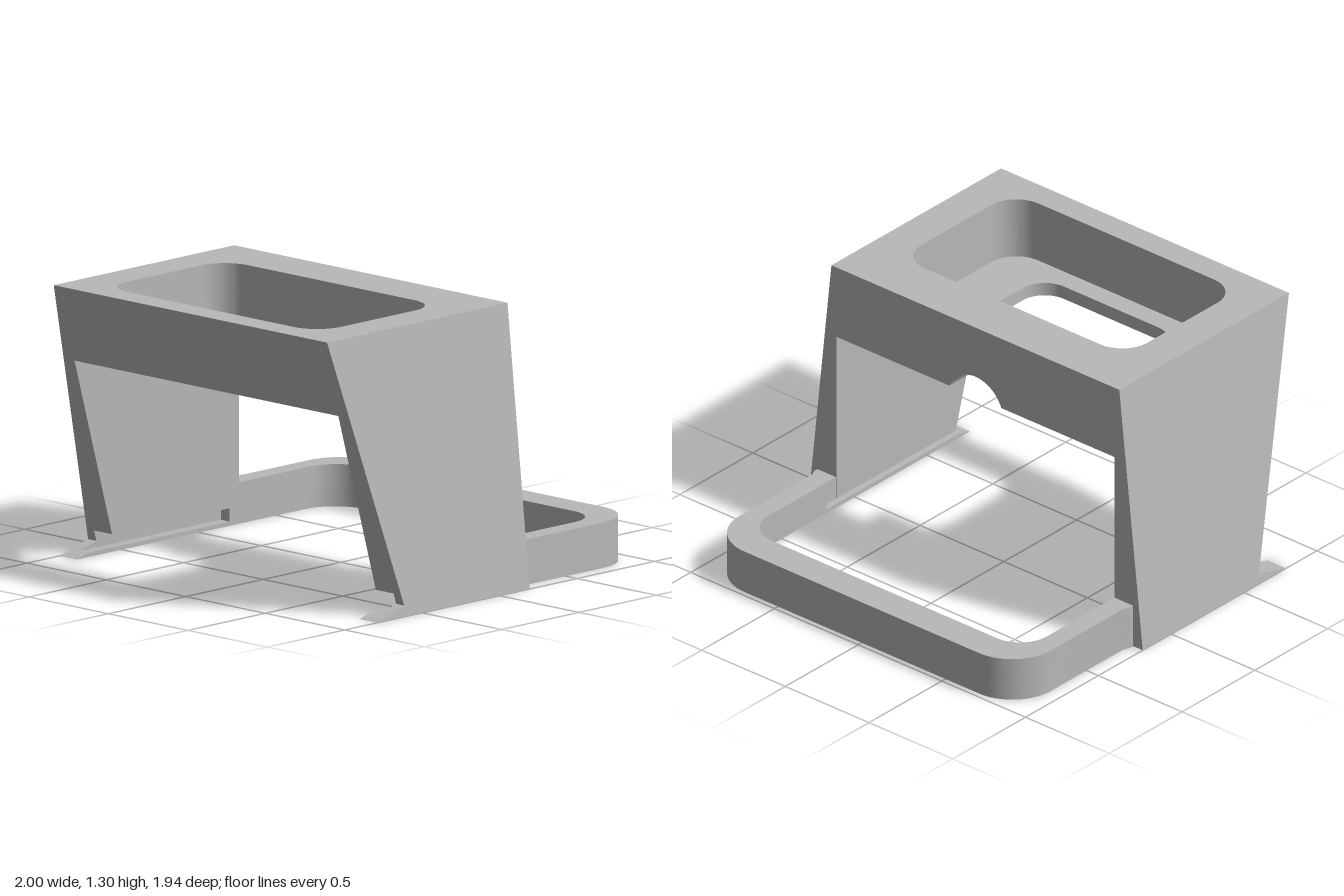
import * as THREE from 'three';
import { toCreasedNormals } from 'three/addons/utils/BufferGeometryUtils.js';

const BACK = -0.195, UNDER = 0.94, FLOOR = 1.004, TOP = 1.3;
const HALF = Math.PI / 2;
const ARCH = { r: 0.167, y: 0.878 };

// outline of the body: half width and front edge at a given height
const outerX = y => 1 - 0.14 * y / TOP;
const frontZ = y => y < 0.05 ? 0.79 - 0.18 * y / 0.05 : 0.61 + 0.36 * (y - 0.05) / 1.25;

export function createModel() {
  const group = new THREE.Group();
  const grey = new THREE.MeshStandardMaterial({ color: 0xb8b8b8 });
  grey.name = 'grey';

  function add(name, geometry) {
    const mesh = new THREE.Mesh(toCreasedNormals(geometry, 0.5), grey);
    mesh.name = name;
    group.add(mesh);
  }

  // extrude a plan outline (x, z) between two heights
  function planExtrude(shape, y0, y1) {
    const g = new THREE.ExtrudeGeometry(shape, { depth: y1 - y0, bevelEnabled: false, curveSegments: 12 });
    return g.rotateX(HALF).translate(0, y1, 0);
  }

  // U-shaped layer around a rounded opening, its outside following the tapered body
  function taperedFrame(name, y0, y1, w, zBack, zFront, r) {
    const s = new THREE.Shape();
    s.moveTo(-0.85, zBack);
    s.lineTo(-0.85, 0.95);
    s.lineTo(0.85, 0.95);
    s.lineTo(0.85, zBack);
    s.absarc(w - r, zBack + r, r, -HALF, 0);
    s.absarc(w - r, zFront - r, r, 0, HALF);
    s.absarc(-w + r, zFront - r, r, HALF, 2 * HALF);
    s.absarc(-w + r, zBack + r, r, 2 * HALF, 3 * HALF);
    const g = planExtrude(s, y0, y1);
    const p = g.attributes.position;
    for (let i = 0; i < p.count; i++) {
      const x = p.getX(i), y = p.getY(i);
      if (Math.abs(x) > 0.8) p.setX(i, Math.sign(x) * outerX(y));
      if (p.getZ(i) > 0.9) p.setZ(i, frontZ(y));
    }
    add(name, g);
  }

  // half of a wall with the cable arch cut out of its lower edge
  function archHalf(name, side, y1, z0, z1) {
    const a0 = Math.asin((UNDER - ARCH.y) / ARCH.r);
    const a1 = Math.asin(Math.min(1, (y1 - ARCH.y) / ARCH.r));
    const pts = [];
    for (let i = 0; i <= 12; i++) {
      const a = a0 + (a1 - a0) * i / 12;
      pts.push(new THREE.Vector2(side * ARCH.r * Math.cos(a), ARCH.y + ARCH.r * Math.sin(a)));
    }
    if (a1 > HALF - 0.01) pts.push(new THREE.Vector2(0, y1));
    pts.push(new THREE.Vector2(side * outerX(y1), y1), new THREE.Vector2(side * outerX(UNDER), UNDER));
    const g = new THREE.ExtrudeGeometry(new THREE.Shape(pts), { depth: z1 - z0, bevelEnabled: false });
    add(name, g.translate(0, 0, z0));
  }

  // leg layer: straight inner face, tapered outer and front faces
  function legSlab(name, side, inner, y0, y1) {
    const g = new THREE.BoxGeometry(1, 1, 1);
    const p = g.attributes.position;
    for (let i = 0; i < p.count; i++) {
      const y = p.getY(i) < 0 ? y0 : y1;
      const x = p.getX(i) * side < 0 ? inner : outerX(y);
      p.setXYZ(i, side * x, y, p.getZ(i) < 0 ? BACK : frontZ(y));
    }
    add(name, g);
  }

  // top block with pocket, floor opening and cable arch
  taperedFrame('pocketWalls', FLOOR, TOP, 0.675, 0.06, 0.84, 0.15);
  taperedFrame('pocketFloor', UNDER, FLOOR, 0.413, 0.168, 0.737, 0.13);
  for (const side of [1, -1]) {
    const label = side > 0 ? 'left' : 'right';
    archHalf(label + 'BackWall', side, TOP, BACK, 0.06);
    archHalf(label + 'FloorStrip', side, FLOOR, 0.06, 0.168);

    // legs with an undercut track along the inside and a pointed toe
    legSlab(label + 'Leg', side, 0.83, 0.1, UNDER);
    legSlab(label + 'TrackWall', side, 0.943, 0.05, 0.1);
    legSlab(label + 'Toe', side, 0.943, 0.02, 0.05);
    legSlab(label + 'TrackLip', side, 0.89, 0, 0.02);
  }

  // rear loop, wider inside along its lower half
  function loop(name, y0, y1, inX, inZ, inR) {
    const outX = 0.93, outZ = -0.975, outR = 0.23;
    const s = new THREE.Shape();
    s.moveTo(0.943, BACK);
    s.lineTo(0.943, -0.215);
    s.lineTo(outX, -0.25);
    s.absarc(outX - outR, outZ + outR, outR, 0, -HALF, true);
    s.absarc(-outX + outR, outZ + outR, outR, -HALF, -2 * HALF, true);
    s.lineTo(-outX, -0.25);
    s.lineTo(-0.943, -0.215);
    s.lineTo(-0.943, BACK);
    s.lineTo(-inX, BACK);
    s.absarc(-inX + inR, inZ + inR, inR, 2 * HALF, 3 * HALF);
    s.absarc(inX - inR, inZ + inR, inR, -HALF, 0);
    s.lineTo(inX, BACK);
    add(name, planExtrude(s, y0, y1));
  }
  loop('rearLoopTop', 0.1, 0.21, 0.832, -0.82, 0.16);
  loop('rearLoopBase', 0, 0.1, 0.89, -0.87, 0.18);

  return group;
}
